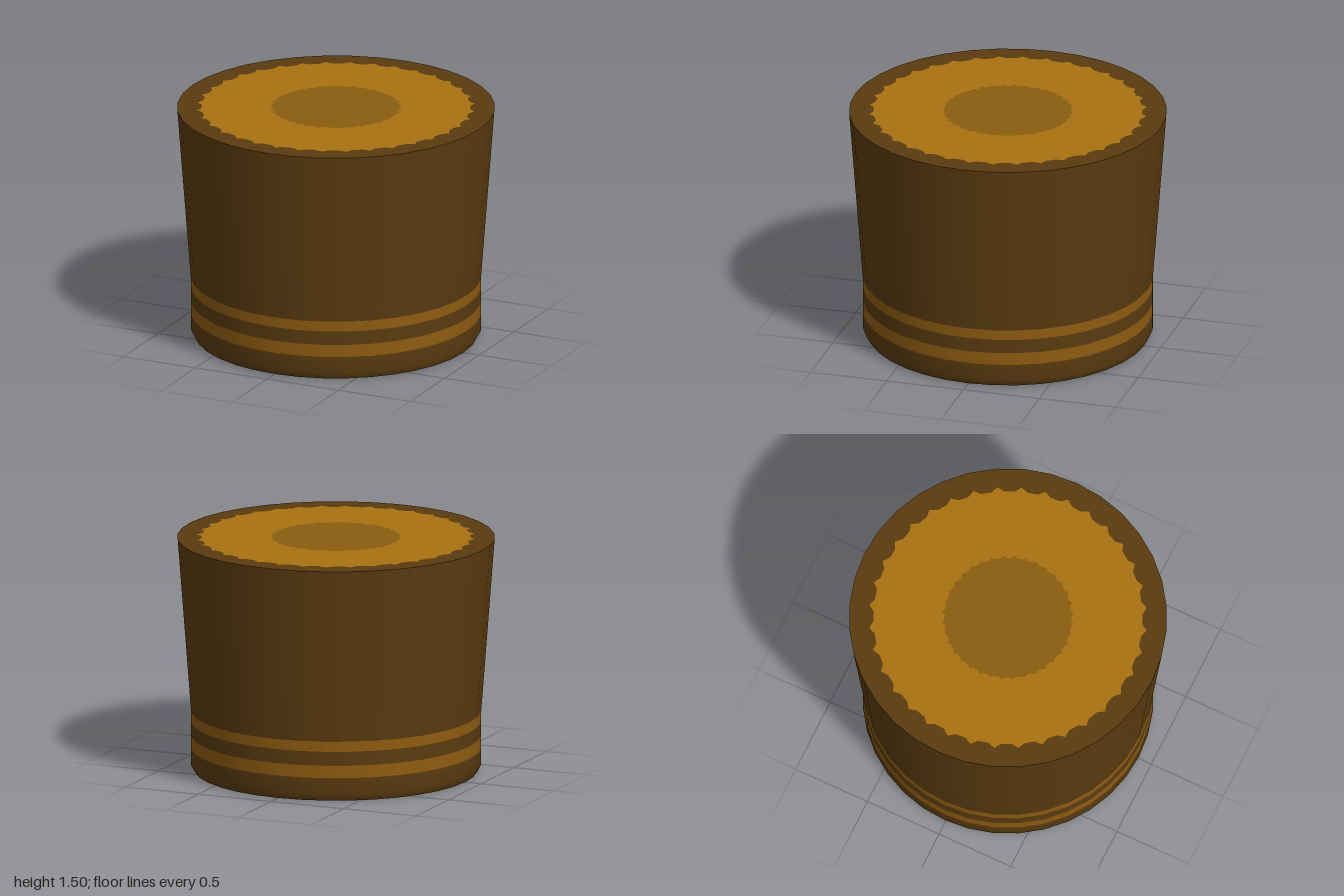
import * as THREE from 'three';

const SIDES = 36;
const HEIGHT = 1.5;

export function createModel() {
  const group = new THREE.Group();
  const paint = (color) => new THREE.MeshStandardMaterial({ color });
  const bark = paint(0x5a3b10);
  const band = paint(0x8e5b10);
  const wood = paint(0xaa7210);
  const core = paint(0x8a5c10);

  const add = (name, geometry, material) => {
    const mesh = new THREE.Mesh(geometry, material);
    mesh.name = name;
    group.add(mesh);
  };

  // Wall sections, each turned from a short profile of [radius, height]
  const wall = (name, material, profile) =>
    add(name, new THREE.LatheGeometry(profile.map(([r, y]) => new THREE.Vector2(r, y)), SIDES), material);
  wall('bevelledFoot', bark, [[0.89, 0], [0.915, 0.045], [0.915, 0.15]]);
  wall('lowerBand', band, [[0.915, 0.15], [0.915, 0.23]]);
  wall('middleWall', bark, [[0.915, 0.23], [0.915, 0.32]]);
  wall('upperBand', band, [[0.915, 0.32], [0.915, 0.385]]);
  wall('flaredBody', bark, [[0.915, 0.385], [1, HEIGHT]]);

  // Outline with one pointed tooth per side: full radius at the tip, valley between
  const toothed = (tip, valley) => {
    const points = [];
    for (let i = 0; i < SIDES; i++) {
      for (const [step, r] of [[0, tip], [0.28, valley], [0.72, valley]]) {
        const a = ((i + step) / SIDES) * Math.PI * 2;
        points.push(new THREE.Vector2(Math.cos(a) * r, Math.sin(a) * r));
      }
    }
    return points;
  };

  // Flat top made of three nested zones
  const zone = (name, material, outline, hole) => {
    const shape = new THREE.Shape(outline);
    if (hole) shape.holes.push(new THREE.Path(hole));
    add(name, new THREE.ShapeGeometry(shape).rotateX(-Math.PI / 2).translate(0, HEIGHT, 0), material);
  };
  const woodEdge = toothed(0.875, 0.845);
  const coreEdge = toothed(0.415, 0.4);
  zone('topRim', bark, toothed(1, 1).filter((p, i) => i % 3 === 0), woodEdge);
  zone('topFace', wood, woodEdge, coreEdge);
  zone('topCentre', core, coreEdge);

  // Underside
  add('base', new THREE.CircleGeometry(0.89, SIDES).rotateX(Math.PI / 2), bark);

  return group;
}
